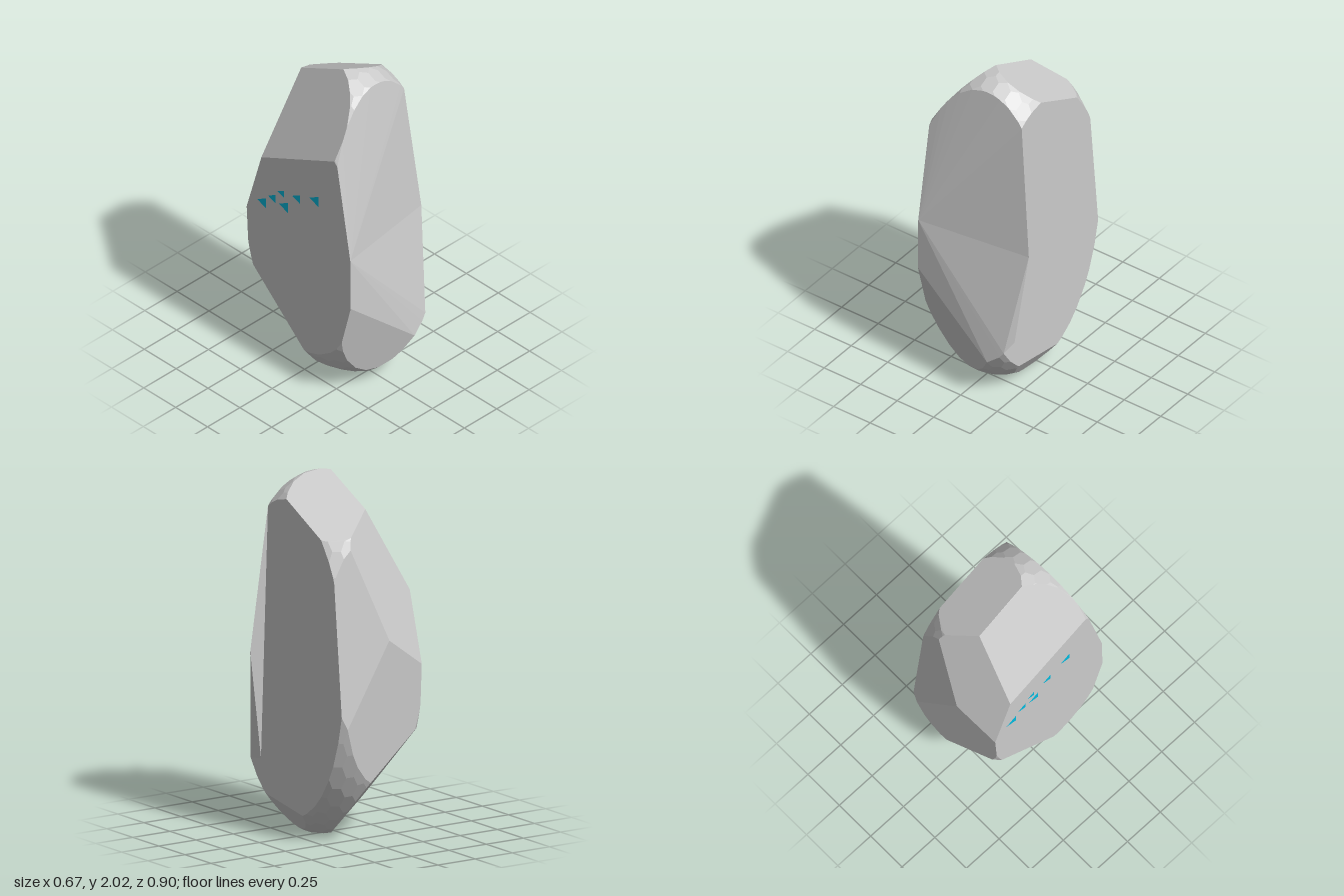
import * as THREE from 'three';
import { ConvexGeometry } from 'three/addons/geometries/ConvexGeometry.js';

const V = (x, y, z) => new THREE.Vector3(x, y, z);
const CENTRE = V(0, 1, 0.07);
const RADII = V(0.505, 1.028, 0.6);

// A cut is stored as its dual point: normal / distance from the centre.
function cut(a, b, c) {
  const [p, q, r] = [a, b, c].map((v) => V(...v).sub(CENTRE));
  const n = q.clone().sub(p).cross(r.clone().sub(p)).normalize();
  return n.divideScalar(n.dot(p));
}

const onCut = (k) => (p) => Math.abs(k.dot(p.clone().sub(CENTRE)) - 1) < 0.003;

function meshOf(name, list, material) {
  const g = new THREE.BufferGeometry().setFromPoints(list.flat());
  g.computeVertexNormals();
  const mesh = new THREE.Mesh(g, material);
  mesh.name = name;
  return mesh;
}

// Triangles of a convex hull as lists of three points
function hull(points) {
  const pos = new ConvexGeometry(points).attributes.position;
  const out = [];
  for (let i = 0; i < pos.count; i += 3) {
    out.push([0, 1, 2].map((j) => V().fromBufferAttribute(pos, i + j)));
  }
  return out;
}

// Corner points of the solid enclosed by all cuts, found through the dual hull.
function cornersOf(cuts) {
  const out = [];
  for (const [a, b, c] of hull(cuts)) {
    const n = b.clone().sub(a).cross(c.clone().sub(a));
    const p = n.clone().divideScalar(n.dot(a));
    const valid = cuts.every((k) => k.dot(p) < 1.0005);
    if (valid && !out.some((o) => o.distanceTo(p) < 0.002)) out.push(p);
  }
  return out.map((p) => p.add(CENTRE));
}

// Fan from an apex over rim points, sorted by angle; across(p) is the sideways axis
function fan(apex, rim, across) {
  const angle = (p) => Math.atan2(p.y - apex.y, across(p) - across(apex));
  const sorted = [...rim].sort((p, q) => angle(p) - angle(q));
  return sorted.slice(1).map((p, i) => [apex, sorted[i], p]);
}

export function createModel() {
  const group = new THREE.Group();
  group.name = 'rock';
  const grey = new THREE.MeshStandardMaterial({ color: 0xcccccc, flatShading: true });

  // Large chiselled faces
  const front = cut([0.25, 1.85, 0.27], [0.25, 0.32, 0.445], [-0.335, 0.7, 0.447]);
  const left = cut([0.25, 0, 0], [0.25, 1, 0], [0.25, 0, 1]);
  const cuts = [
    front,
    left,
    cut([-0.333, 0, 0], [-0.333, 1, 0], [-0.333, 0, 1]),                       // right side
    cut([-0.335, 0.7, 0.445], [0.15, 0.22, 0.445], [0, 0.08, 0.37]),           // lower front
    cut([-0.055, 1.86, -0.225], [-0.045, 1.995, 0.05], [0.25, 1.73, -0.23]),   // top
    cut([-0.055, 1.86, -0.225], [-0.045, 2.01, 0.05], [-0.335, 1.37, -0.255]), // top right
    cut([-0.055, 1.86, -0.225], [-0.335, 1.37, -0.255], [-0.08, 1.15, -0.42]), // upper back
    cut([-0.08, 1.15, -0.42], [0.12, 1.67, -0.355], [0.25, 0.7, -0.44]),       // back left
    cut([-0.08, 1.15, -0.42], [-0.335, 0.98, -0.37], [0.22, 0.7, -0.445]),     // lower back
    cut([-0.3, 0.6, -0.35], [0.05, 0.33, -0.39], [-0.33, 0.25, 0.05]),         // bottom back
    cut([-0.27, 0.14, 0], [0.14, 0, 0], [0.14, 0, 1]),                         // bottom
    cut([0.25, 0.2, 0.34], [0.25, 0.13, -0.07], [0.14, 0, 0.1]),               // bottom left
  ];

  // Worn, rounded corners: tangent planes of an ellipsoid
  const ico = new THREE.IcosahedronGeometry(1, 7).attributes.position;
  const seen = new Set();
  for (let i = 0; i < ico.count; i++) {
    const u = V().fromBufferAttribute(ico, i);
    const key = u.toArray().map((n) => Math.round(n * 1000) + 0).join();
    if (seen.has(key)) continue;
    seen.add(key);
    cuts.push(u.divide(RADII));
  }
  const points = cornersOf(cuts);
  const frontRim = points.filter(onCut(front));
  const leftRim = points.filter(onCut(left));

  // Body without its front and left faces, which are bent rather than flat
  const body = hull(points).filter((t) => !t.every(onCut(front)) && !t.every(onCut(left)));
  group.add(meshOf('rockBody', body, grey));

  // Front face, creased from a raised right end to a spur at the left
  const crease = V(-0.333, 1.03, 0.443), tip = V(0.335, 1, 0.322);
  const frontFan = fan(crease, [...frontRim, tip], (p) => p.x);
  const rightEnd = [crease, frontFan.at(-1)[2], frontFan[0][1]];
  group.add(meshOf('frontFace', [...frontFan, rightEnd], grey));

  // Left face, and the thin back of the spur
  const notch = V(0.25, 0.38, 0.34);
  group.add(meshOf('leftFace', fan(notch, leftRim, (p) => -p.z), grey));
  const shared = frontRim.filter(onCut(left)).sort((p, q) => p.y - q.y);
  const low = shared[0], top = shared.at(-1);
  group.add(meshOf('edgeSpur', [[top, tip, notch], [tip, low, notch]], grey));

  // Small coloured flecks on the right side: [z, y, size]
  const flecks = [[-0.25, 1.07, 0.07], [-0.17, 1.14, 0.06], [-0.08, 1.13, 0.07],
    [-0.1, 1.21, 0.05], [0.02, 1.24, 0.06], [0.16, 1.3, 0.07]];
  const x = -0.335;
  group.add(meshOf('flecks', flecks.map(([z, y, s]) => [
    V(x, y, z - s / 2), V(x, y - s * 0.4, z + s / 2), V(x, y + s * 0.6, z + s / 2)]),
  new THREE.MeshStandardMaterial({ color: 0x00bbe0, side: THREE.DoubleSide })));

  return group;
}
